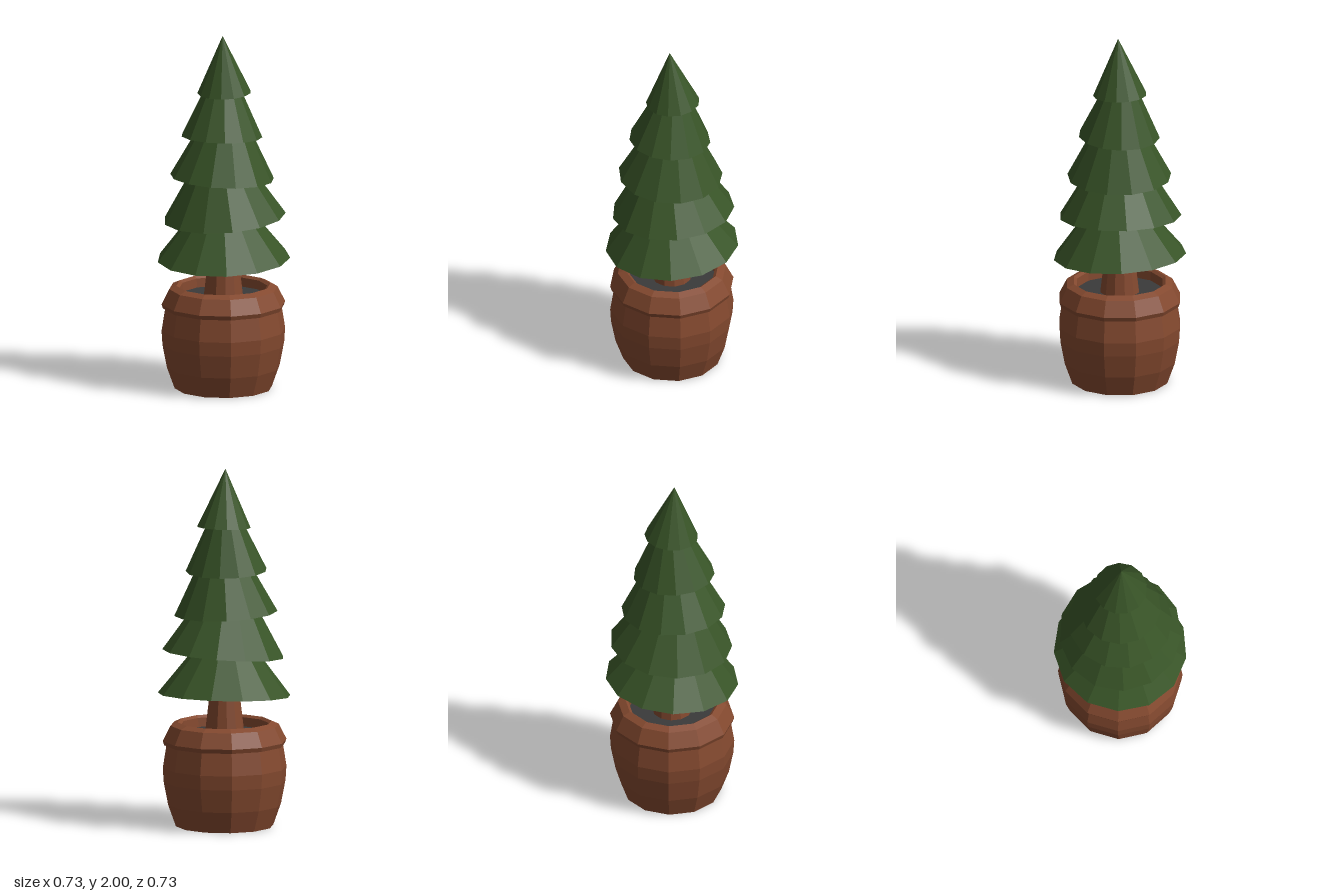
import * as THREE from 'three';

const mat = (color) => new THREE.MeshStandardMaterial({ color, flatShading: true });

export function createModel() {
  const group = new THREE.Group();
  const green = mat(0x385427), brown = mat(0x84492f), soilGrey = mat(0x3a3a3a);
  const add = (name, geometry, material, y = 0) => {
    const mesh = new THREE.Mesh(geometry, material);
    mesh.name = name;
    mesh.position.y = y;
    group.add(mesh);
    return mesh;
  };

  // Twelve-sided bulging pot with an overhanging, chamfered rim
  const profile = [
    [0, 0], [0.272, 0], [0.315, 0.12], [0.34, 0.25], [0.345, 0.33], [0.325, 0.455],
    [0.337, 0.456], [0.345, 0.48], [0.302, 0.565], [0.262, 0.583],
    [0.245, 0.57], [0.24, 0.5],
  ].map(([r, y]) => new THREE.Vector2(r, y));
  add('pot', new THREE.LatheGeometry(profile, 12), brown);

  // Soil disc inside the rim
  add('soil', new THREE.CylinderGeometry(0.25, 0.25, 0.04, 12), soilGrey, 0.5);

  // Tapered trunk running up into the foliage
  add('trunk', new THREE.CylinderGeometry(0.065, 0.112, 0.4, 12), brown, 0.7);

  // Foliage tiers: radius, base height, cone height, spin in degrees, slope in x, slope in z, z offset
  const tiers = [
    [0.37, 0.735, 0.47, 0, -0.034, -0.054, -0.002],
    [0.34, 0.967, 0.54, 5, 0.007, -0.08, -0.008],
    [0.289, 1.195, 0.55, 12.6, -0.018, 0.044, 0.008],
    [0.226, 1.43, 0.48, 2, 0.02, 0.045, 0.012],
    [0.149, 1.676, 0.325, 18.5, -0.02, -0.05, -0.006],
  ];
  tiers.forEach(([radius, base, height, spin, slopeX, slopeZ, z], i) => {
    const cone = new THREE.ConeGeometry(radius, height, 13);
    cone.translate(0, height / 2, 0).rotateY(THREE.MathUtils.degToRad(spin));
    const tier = add(`foliageTier${i + 1}`, cone, green, base);
    tier.position.z = z;
    tier.rotation.set(-slopeZ, 0, slopeX);
  });

  return group;
}
